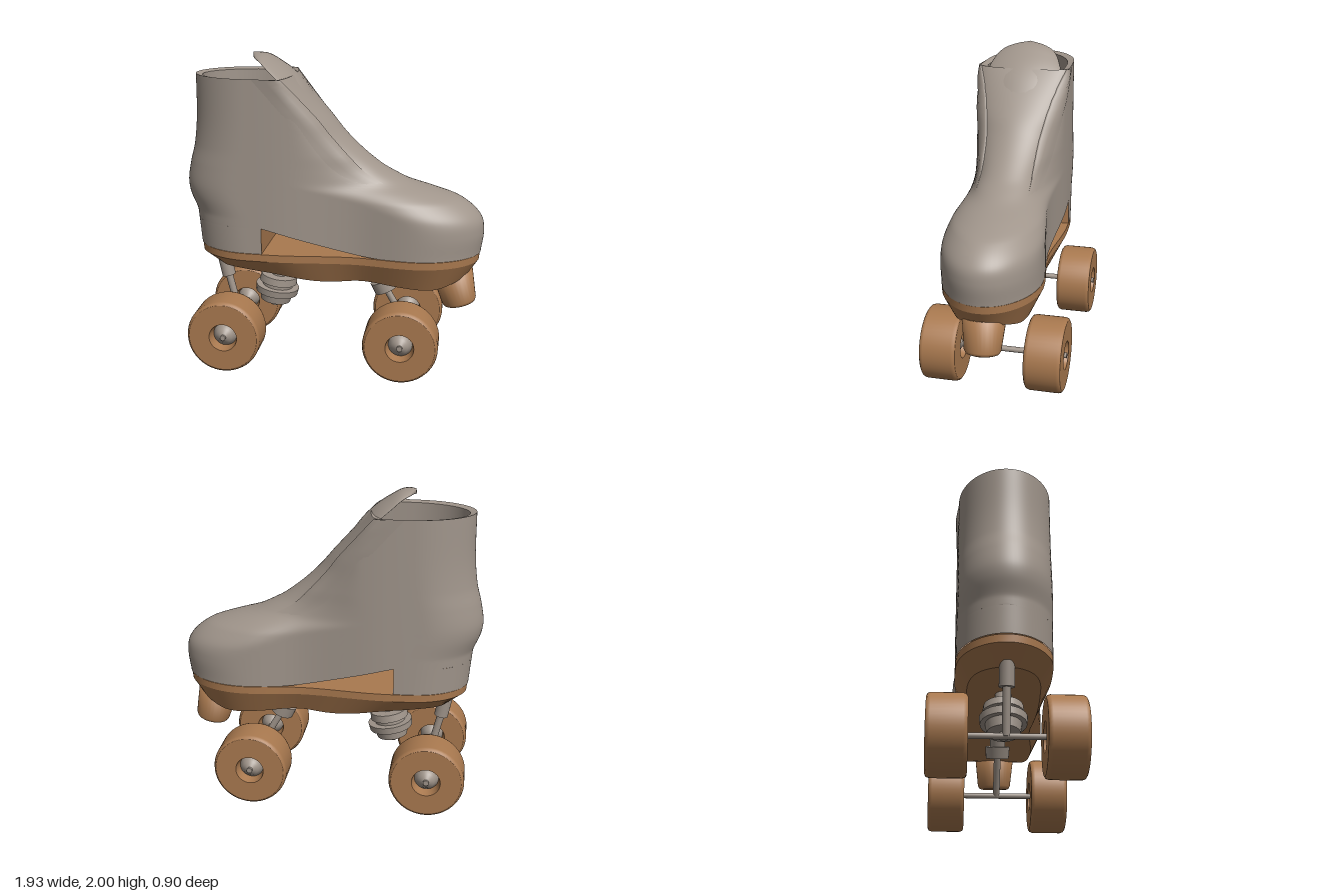
import * as THREE from 'three';

const leather = new THREE.MeshStandardMaterial({ color: 0xa0958b, side: THREE.DoubleSide });
leather.name = 'warm grey';
const tan = new THREE.MeshStandardMaterial({ color: 0xa9794f, side: THREE.DoubleSide });
tan.name = 'tan brown';

const V = (x, y, z = 0) => new THREE.Vector3(x, y, z);

// Smooth interpolation through a short list of [key, value] pairs
function smooth(pts) {
  const n = pts.length;
  const slope = i => {
    const a = pts[Math.max(i - 1, 0)], b = pts[Math.min(i + 1, n - 1)];
    return (b[1] - a[1]) / (b[0] - a[0]);
  };
  return k => {
    if (k <= pts[0][0]) return pts[0][1];
    if (k >= pts[n - 1][0]) return pts[n - 1][1];
    let i = 0;
    while (k > pts[i + 1][0]) i++;
    const h = pts[i + 1][0] - pts[i][0], t = (k - pts[i][0]) / h, u = 1 - t;
    return pts[i][1] * (1 + 2 * t) * u * u + pts[i + 1][1] * t * t * (3 - 2 * t)
      + h * t * u * (slope(i) * u - slope(i + 1) * t);
  };
}

// Boot profile by height: front, back and roundness of the front; width along its length
const frontX = smooth([[0.76, 0.945], [0.9, 0.96], [1.0, 0.935], [1.1, 0.82], [1.15, 0.68], [1.2, 0.51],
  [1.25, 0.4], [1.3, 0.31], [1.4, 0.18], [1.5, 0.075], [1.6, -0.01], [1.7, -0.1], [1.87, -0.25]]);
const backX = smooth([[0.76, -0.89], [0.98, -0.91], [1.0, -0.915], [1.1, -0.955], [1.18, -0.965],
  [1.3, -0.945], [1.42, -0.915], [1.6, -0.895], [1.87, -0.89]]);
const frontRound = smooth([[0.76, 0.42], [1.0, 0.45], [1.1, 0.6], [1.2, 0.7], [1.3, 0.55], [1.4, 0.4],
  [1.55, 0.25], [1.7, 0.15], [1.87, 0.07]]);
const width = smooth([[-1, 0.27], [-0.6, 0.285], [-0.3, 0.293], [0.15, 0.262], [0.5, 0.305], [1, 0.3]]);
const archY = smooth([[-0.43, 0.93], [-0.1, 0.84], [0.1, 0.79], [0.22, 0.768], [0.32, 0.76]]);

function halfWidth(x, y, inset = 0) {
  const cap = d => Math.sqrt(Math.max(0, 1 - (1 - Math.min(1, Math.max(0, d))) ** 2));
  return (width(x) - inset) * cap((frontX(y) - inset - x) / frontRound(y)) * cap((x - backX(y) - inset) / 0.36);
}

// Horizontal outline of the boot at one height
function outline(y, inset = 0, floor = () => 0) {
  const a = backX(y) + inset, b = frontX(y) - inset, ring = [];
  for (let i = 0; i < 96; i++) {
    const t = i / 96 * Math.PI * 2, x = (a + b) / 2 - (b - a) / 2 * Math.cos(t);
    const yy = Math.max(y, floor(x));
    ring.push(V(x, yy, Math.sign(Math.sin(t)) * halfWidth(x, yy, inset)));
  }
  return ring;
}

// Surface through rows of points
function skin(rows, closed = true) {
  const n = rows[0].length, idx = [];
  for (let j = 0; j < rows.length - 1; j++) for (let i = 0; i < (closed ? n : n - 1); i++) {
    const k = (i + 1) % n, a = j * n + i, b = j * n + k;
    idx.push(a, b, a + n, b, b + n, a + n);
  }
  const g = new THREE.BufferGeometry().setFromPoints(rows.flat());
  g.setIndex(idx);
  g.computeVertexNormals();
  return g;
}
const flat = ring => ring.map(p => V(p.x, p.y, 0));
const levels = (a, b, n, f) => Array.from({ length: n + 1 }, (_, i) => f(a + (b - a) * i / n));

export function createModel() {
  const model = new THREE.Group();
  const add = (name, geo, mat, parent = model) => {
    const m = new THREE.Mesh(geo, mat);
    m.name = name;
    parent.add(m);
    return m;
  };

  // Boot shell with arched underside, lining, rim and insole
  const shell = levels(0.76, 1.87, 90, y => outline(y, 0, archY));
  const lining = levels(0.97, 1.86, 50, y => outline(y, 0.04));
  add('bootShell', skin(shell), leather);
  add('archUnderside', skin([shell[0], flat(shell[0])]), tan);
  add('bootLining', skin(lining), leather);
  add('bootRim', skin([shell[90], lining[50]]), leather);
  add('insole', skin([lining[0], flat(lining[0])]), leather);

  // Heel with a flat front face
  const heelX = -0.43;
  const heelRow = y => {
    const half = [], a = backX(y);
    for (let i = 0; i <= 24; i++) {
      const x = a + (heelX - a) * (1 - Math.cos(i / 24 * Math.PI / 2));
      half.push(V(x, y, halfWidth(x, y)));
    }
    return [...half.map(p => V(p.x, p.y, -p.z)).reverse(), ...half.slice(1)];
  };
  add('heel', skin(levels(0.76, 0.93, 8, heelRow), false), leather);
  const heelFace = add('heelFace', new THREE.PlaneGeometry(2 * halfWidth(heelX, 0.85), 0.17), tan);
  heelFace.rotation.y = Math.PI / 2;
  heelFace.position.set(heelX, 0.845, 0);

  // Lacing flaps: raised edges either side of the tongue
  const flapZ = smooth([[1.22, 0.165], [1.35, 0.16], [1.5, 0.17], [1.65, 0.2], [1.78, 0.24], [1.87, 0.28]]);
  for (const side of [1, -1]) {
    const rows = levels(1.22, 1.87, 30, y => {
      let x0 = frontX(y);
      while (halfWidth(x0, y) < flapZ(y) && x0 > frontX(y) - 0.3) x0 -= 0.002;
      const lift = 0.016 * Math.min(1, (y - 1.22) / 0.15);
      return [[0, -0.01], [0, 1], [0.04, 0.9], [0.1, 0.5], [0.2, -0.15]].map(([d, o]) =>
        V(x0 - d + o * lift * 0.5, y, side * (halfWidth(x0 - d, y) + o * lift * 0.8)));
    });
    add(side > 0 ? 'leftFlap' : 'rightFlap', skin(rows, false), leather);
  }

  // Tongue curling back over the opening
  const path = new THREE.CatmullRomCurve3([V(-0.14, 1.72), V(-0.21, 1.81), V(-0.28, 1.878), V(-0.36, 1.935),
    V(-0.44, 1.978), V(-0.52, 1.985)]);
  const tongueWidth = smooth([[0, 0.2], [0.2, 0.23], [0.4, 0.24], [0.6, 0.215], [0.8, 0.165], [0.93, 0.1], [1, 0.005]]);
  add('tongue', skin(levels(0, 1, 28, t => {
    const p = path.getPoint(t), d = path.getTangent(t), w = tongueWidth(t);
    return Array.from({ length: 28 }, (_, i) => {
      const a = i / 28 * Math.PI * 2, z = w * Math.cos(a), off = 0.016 * Math.sin(a) - 0.8 * z * z;
      return V(p.x + d.y * off, p.y - d.x * off, z);
    });
  })), leather);

  // Sole plate: upright band, tapered sides, shaped underside
  const bottom = smooth([[-0.78, 0.61], [-0.6, 0.625], [-0.4, 0.612], [-0.15, 0.575], [0, 0.567], [0.2, 0.582],
    [0.45, 0.56], [0.66, 0.548], [0.78, 0.58], [0.88, 0.62]]);
  const edge = outline(0.76);
  const top = edge.map(p => V(p.x * 0.995, 0.757, p.z));
  const band = top.map(p => V(p.x * 0.995, 0.71, p.z));
  const under = band.map(p => {
    const x = 0.055 + (p.x - 0.025) * 0.9;
    return V(x, bottom(x), p.z * 0.76);
  });
  add('soleTop', skin([flat(top), top]), tan);
  add('soleBand', skin([top, band]), tan);
  add('soleTaper', skin([band, under]), tan);
  add('soleUnderside', skin([under, flat(under)]), tan);

  // Rod along a line in the side plane
  const rod = (name, a, b, r1, r2 = r1, mat = leather) => {
    const d = b.clone().sub(a);
    const m = add(name, new THREE.CylinderGeometry(r1, r2, d.length(), 24), mat);
    m.position.copy(a).addScaledVector(d, 0.5);
    m.quaternion.setFromUnitVectors(V(0, -1), d.normalize());
  };

  // Rear truck: strut and stacked cushion
  rod('rearStrut', V(-0.755, 0.65), V(-0.725, 0.505), 0.045);
  rod('rearPin', V(-0.73, 0.53), V(-0.66, 0.237), 0.024);
  const at = t => V(-0.36 - 0.055 * t, 0.63 - 0.32 * t);
  [['cushionPost', 0, 0.4, 0.05, 0.05], ['cushionCup', 0.32, 0.47, 0.12, 0.125], ['cushionNeck', 0.47, 0.56, 0.1, 0.1],
    ['cushionRing', 0.56, 0.7, 0.145, 0.14], ['cushionBase', 0.7, 0.88, 0.11, 0.1], ['cushionBolt', 0.88, 1, 0.025, 0.025]]
    .forEach(([name, a, b, r1, r2]) => rod(name, at(a), at(b), r1, r2));

  // Front truck
  rod('frontPost', V(0.26, 0.62), V(0.325, 0.49), 0.05);
  rod('frontCollar', V(0.31, 0.525), V(0.34, 0.455), 0.08, 0.075);
  rod('frontPin', V(0.33, 0.48), V(0.47, 0.237), 0.022);

  // Toe stop
  const stop = add('toeStop', new THREE.LatheGeometry([[0, -0.2], [0.085, -0.2], [0.102, -0.193], [0.112, -0.175],
    [0.133, 0.02], [0, 0.02]].map(p => new THREE.Vector2(...p)), 32), tan);
  stop.position.set(0.775, 0.585, 0);
  stop.rotation.z = 0.25;

  // Wheels and axles
  const tyre = new THREE.LatheGeometry([[0.076, -0.05], [0.09, -0.115], [0.09, -0.115], [0.22, -0.115], [0.22, -0.115],
    [0.231, -0.108], [0.237, -0.09], [0.237, 0.09], [0.231, 0.108], [0.22, 0.115], [0.22, 0.115], [0.09, 0.115],
    [0.09, 0.115], [0.076, 0.05]].map(p => new THREE.Vector2(...p)), 48).rotateX(Math.PI / 2);
  const hub = new THREE.LatheGeometry([[0.018, -0.105], [0.05, -0.085], [0.08, -0.045], [0.08, 0.045], [0.05, 0.085],
    [0.018, 0.105]].map(p => new THREE.Vector2(...p)), 32).rotateX(Math.PI / 2);
  for (const [label, x] of [['rear', -0.66], ['front', 0.468]]) {
    const axle = add(label + 'Axle', new THREE.CylinderGeometry(0.018, 0.018, 0.9, 16).rotateX(Math.PI / 2), leather);
    axle.position.set(x, 0.237, 0);
    for (const side of [1, -1]) {
      const wheel = new THREE.Group();
      wheel.name = label + (side > 0 ? 'WheelNear' : 'WheelFar');
      wheel.position.set(x, 0.237, side * 0.33);
      add('tyre', tyre, tan, wheel);
      add('hub', hub, leather, wheel);
      model.add(wheel);
    }
  }
  return model;
}
